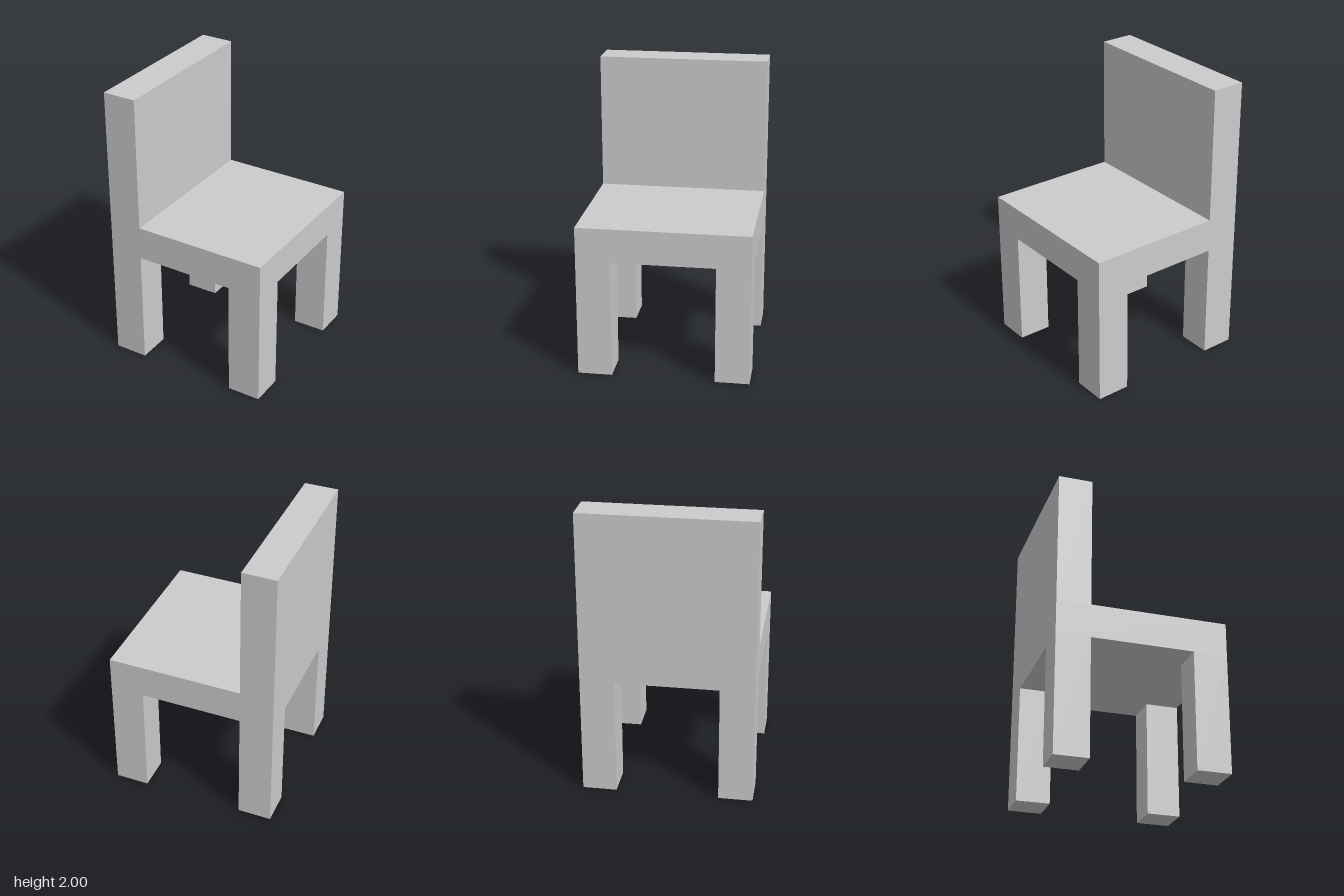
import * as THREE from 'three';

// Everything is a multiple of one board thickness
const T = 2 / 8.5;
const WIDTH = 5 * T;
const LEG_HEIGHT = 3.5 * T;
const BACK_HEIGHT = 4 * T;

export function createModel() {
  const chair = new THREE.Group();
  chair.name = 'chair';
  const material = new THREE.MeshStandardMaterial({ color: 0xcccccc, flatShading: true });

  // Box standing on height y
  function addBox(name, w, h, d, x, y, z) {
    const mesh = new THREE.Mesh(new THREE.BoxGeometry(w, h, d), material);
    mesh.name = name;
    mesh.position.set(x, y + h / 2, z);
    chair.add(mesh);
  }

  // Seat slab
  addBox('seat', WIDTH, T, WIDTH, 0, LEG_HEIGHT, 0);

  // Backrest along the -x edge of the seat
  addBox('backrest', T, BACK_HEIGHT, WIDTH, -2 * T, LEG_HEIGHT + T, 0);

  // Four square legs, flush with the seat corners
  for (const sx of [-1, 1]) {
    for (const sz of [-1, 1]) {
      const name = (sz > 0 ? 'front' : 'back') + (sx > 0 ? 'Left' : 'Right') + 'Leg';
      addBox(name, T, LEG_HEIGHT, T, sx * 2 * T, 0, sz * 2 * T);
    }
  }
  return chair;
}
